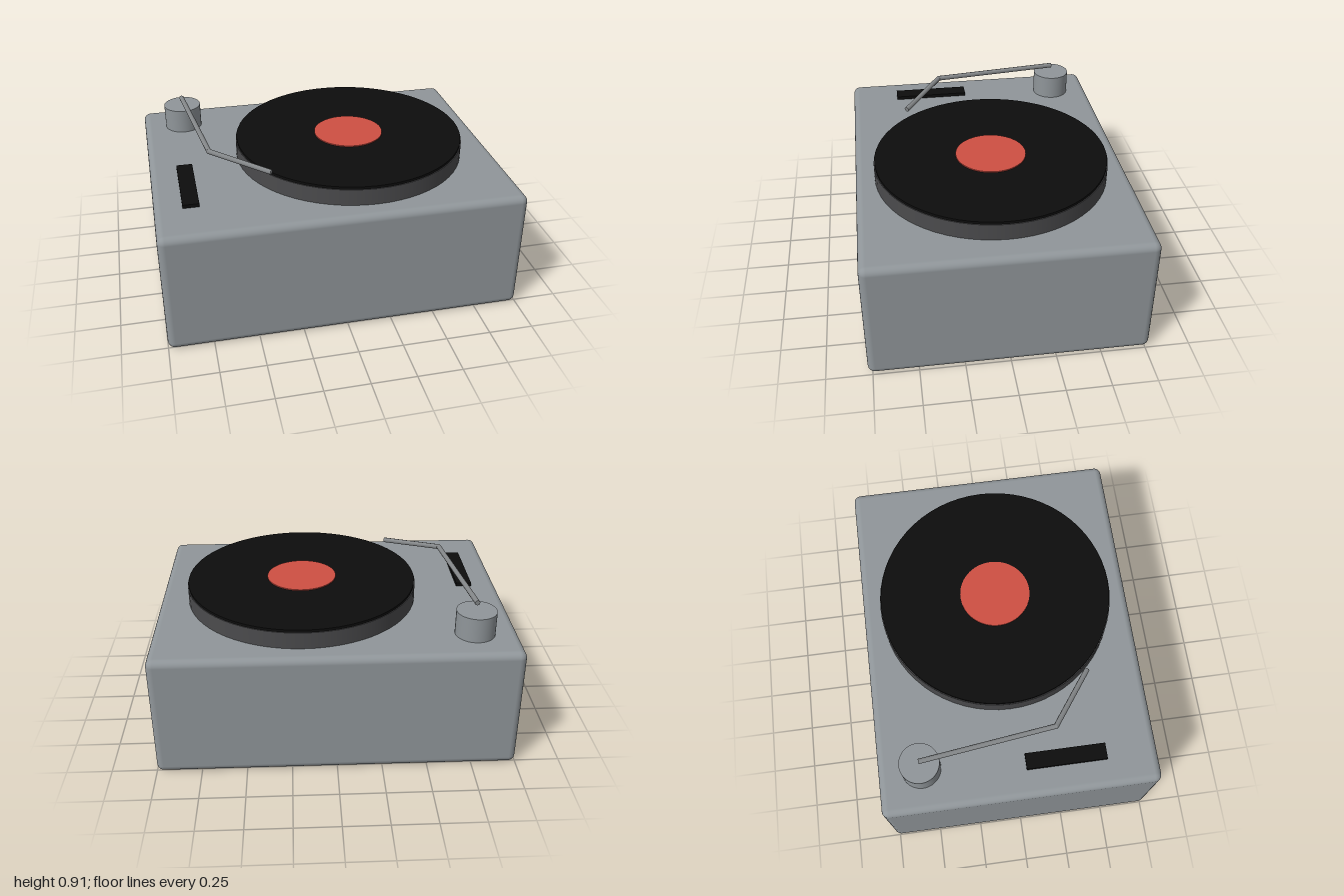
import * as THREE from 'three';
import { RoundedBoxGeometry } from 'three/addons/geometries/RoundedBoxGeometry.js';

const material = (name, color) => {
  const m = new THREE.MeshStandardMaterial({ color });
  m.name = name;
  return m;
};

export function createModel() {
  const group = new THREE.Group();
  const grey = material('casing grey', 0x90969a);
  const metal = material('arm grey', 0x85888a);
  const dark = material('platter charcoal', 0x4b4b4d);
  const black = material('vinyl black', 0x0d0d0d);
  const red = material('label red', 0xcf4f43);

  const add = (name, geometry, mat, x, y, z) => {
    const mesh = new THREE.Mesh(geometry, mat);
    mesh.name = name;
    mesh.position.set(x, y, z);
    group.add(mesh);
    return mesh;
  };
  // Upright disc given by its bottom and top heights
  const disc = (name, mat, r, y0, y1, x, z) =>
    add(name, new THREE.CylinderGeometry(r, r, y1 - y0, 64), mat, x, (y0 + y1) / 2, z);

  // Casing
  add('casing', new RoundedBoxGeometry(2, 0.71, 1.55, 3, 0.04), grey, 0, 0.355, 0);

  // Platter, record and its label
  disc('platter', dark, 0.665, 0.7, 0.805, 0.175, 0);
  disc('record', black, 0.66, 0.805, 0.82, 0.175, 0);
  disc('recordLabel', red, 0.2, 0.82, 0.826, 0.175, 0);

  // Tonearm pivot and slider
  disc('armPivot', grey, 0.11, 0.7, 0.85, -0.76, -0.535);
  add('slider', new THREE.BoxGeometry(0.09, 0.03, 0.45), black, -0.802, 0.715, 0.265);

  // Bent tonearm: straight rods between the points
  const points = [[-0.76, 0.893, -0.535], [-0.668, 0.893, 0.22], [-0.36, 0.848, 0.445]]
    .map((p) => new THREE.Vector3(...p));
  const up = new THREE.Vector3(0, 1, 0);
  for (let i = 0; i < 2; i++) {
    const along = points[i + 1].clone().sub(points[i]);
    const mid = points[i].clone().add(points[i + 1]).multiplyScalar(0.5);
    const rod = add(i ? 'armHead' : 'armRod',
      new THREE.CylinderGeometry(0.015, 0.015, along.length(), 8), metal, mid.x, mid.y, mid.z);
    rod.quaternion.setFromUnitVectors(up, along.normalize());
  }
  // Elbow joint
  add('armElbow', new THREE.SphereGeometry(0.015, 10, 8), metal, ...points[1].toArray());

  return group;
}
